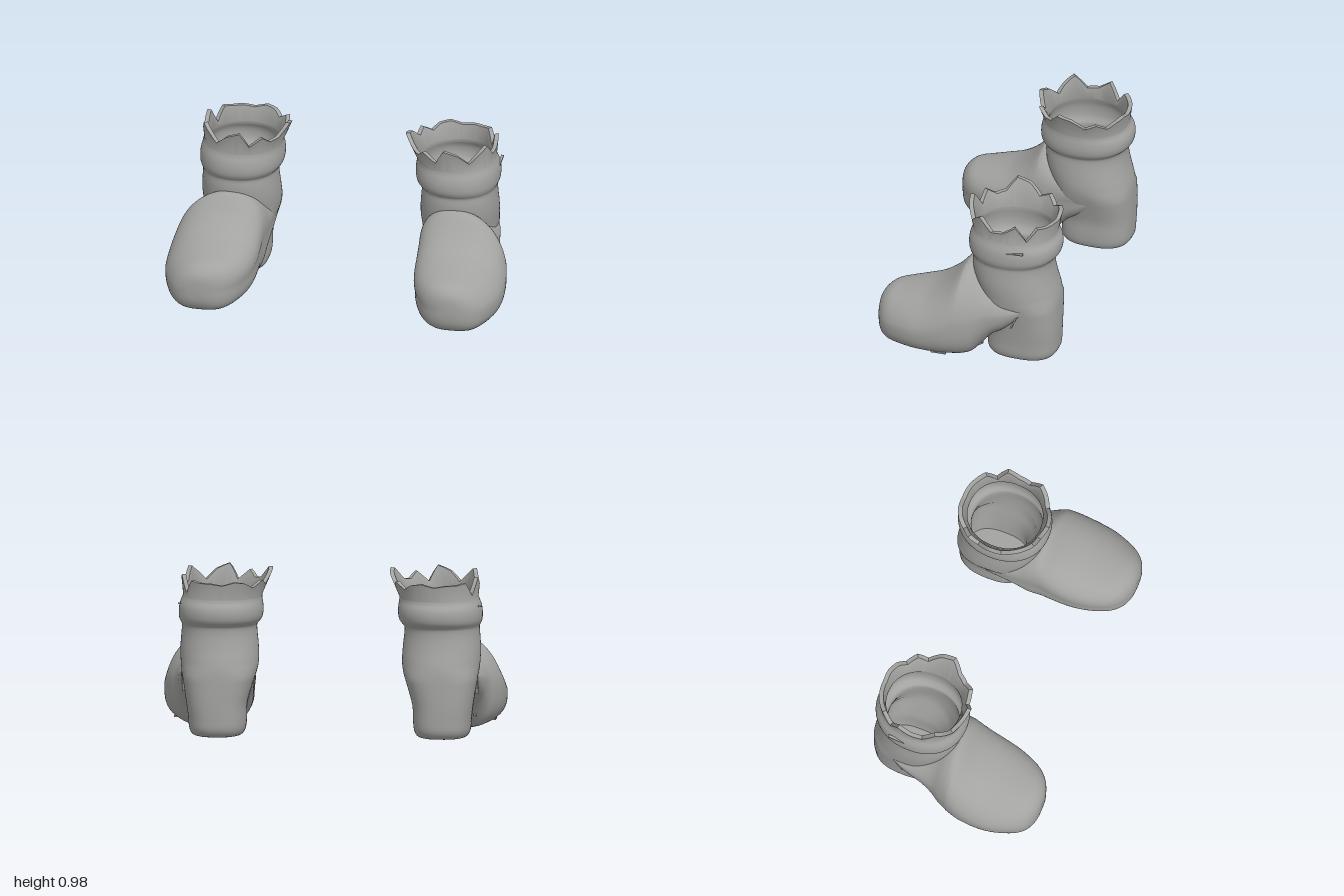
import * as THREE from 'three';
import { toCreasedNormals } from 'three/addons/utils/BufferGeometryUtils.js';

const SEG = 96;
const leather = new THREE.MeshStandardMaterial({ color: 0xa3a3a1, side: THREE.DoubleSide });
leather.name = 'grey leather';

// Catmull-Rom interpolation through rows of numbers
function smoothRows(rows, k) {
  const out = [];
  for (let i = 0; i < rows.length - 1; i++) {
    const p0 = rows[Math.max(i - 1, 0)], p1 = rows[i], p2 = rows[i + 1], p3 = rows[Math.min(i + 2, rows.length - 1)];
    for (let s = 0; s < k; s++) {
      const t = s / k;
      out.push(p1.map((v, c) => v + 0.5 * t * (p2[c] - p0[c]
        + t * (2 * p0[c] - 5 * v + 4 * p2[c] - p3[c] + t * (3 * (v - p2[c]) + p3[c] - p0[c])))));
    }
  }
  out.push(rows[rows.length - 1]);
  return out;
}

// Skin closed rings of [x, y, z] points; the start is capped, the end on request
function loft(rings, side, capEnd) {
  const pos = [], idx = [];
  const tri = (a, b, c) => (side > 0 ? idx.push(a, b, c) : idx.push(a, c, b));
  rings.forEach(r => r.forEach(p => pos.push(p[0] * side, p[1], p[2])));
  for (let i = 0; i < rings.length - 1; i++) {
    for (let j = 0; j < SEG; j++) {
      const a = i * SEG + j, b = i * SEG + (j + 1) % SEG;
      tri(a, a + SEG, b);
      tri(b, a + SEG, b + SEG);
    }
  }
  const cap = (row, end) => {
    const c = pos.length / 3;
    const mid = [0, 1, 2].map(k => rings[row].reduce((s, p) => s + p[k], 0) / SEG);
    pos.push(mid[0] * side, mid[1], mid[2]);
    for (let j = 0; j < SEG; j++) {
      const a = row * SEG + j, b = row * SEG + (j + 1) % SEG;
      if (end) tri(c, b, a); else tri(c, a, b);
    }
  };
  cap(0, false);
  if (capEnd) cap(rings.length - 1, true);
  const g = new THREE.BufferGeometry();
  g.setAttribute('position', new THREE.Float32BufferAttribute(pos, 3));
  g.setIndex(idx);
  return toCreasedNormals(g, 0.8);
}

// Rounded outline in the box u0..u1, v0..v1; squareness below and above, lean shifts the upper half
function outline(u0, u1, v0, v1, nLow, nHigh, lean, place) {
  const hu = (u1 - u0) / 2, hv = (v1 - v0) / 2;
  return Array.from({ length: SEG }, (_, j) => {
    const a = j / SEG * Math.PI * 2, c = Math.cos(a), s = Math.sin(a);
    const e = 2 / (s > 0 ? nHigh : nLow);
    const pc = Math.sign(c) * Math.abs(c) ** e, ps = Math.sign(s) * Math.abs(s) ** e;
    return place(u0 + hu + hu * (pc - lean * Math.max(ps, 0)), v0 + hv + hv * ps);
  });
}

// Heel, ankle and cuff: [y, inner x, outer x, back z, front z]
const shaft = smoothRows([
  [0.015, 0.53, 0.78, -0.48, -0.15], [0.025, 0.505, 0.805, -0.505, -0.12], [0.06, 0.49, 0.82, -0.527, -0.105],
  [0.12, 0.485, 0.825, -0.532, -0.11], [0.2, 0.482, 0.835, -0.535, -0.12], [0.3, 0.455, 0.85, -0.535, -0.1],
  [0.42, 0.42, 0.87, -0.53, -0.05], [0.52, 0.42, 0.875, -0.505, -0.02], [0.6, 0.428, 0.87, -0.49, -0.01],
  [0.65, 0.43, 0.867, -0.49, -0.012], [0.668, 0.418, 0.873, -0.5, 0.0], [0.695, 0.4, 0.883, -0.524, 0.013],
  [0.735, 0.393, 0.885, -0.533, 0.016], [0.775, 0.395, 0.88, -0.528, 0.01], [0.81, 0.4, 0.867, -0.508, -0.002],
  [0.83, 0.4, 0.86, -0.505, -0.005]], 3);
const squareness = y => (y < 0.4 ? 2.6 : 2.15);

// Heights of the torn rim every 15 degrees
const torn = [0.90, 0.89, 0.97, 0.93, 0.88, 0.94, 0.97, 0.88, 0.94, 0.90, 0.91, 0.98,
  0.96, 0.90, 0.93, 0.89, 0.92, 0.93, 0.91, 0.92, 0.92, 0.93, 0.85, 0.95];

function shaftRing([y, x0, x1, z0, z1], inset) {
  const n = squareness(y);
  return outline(x0 + inset, x1 - inset, z0 + inset, z1 - inset, n, n, 0, (x, z) => [x, y, z]);
}

function rimRing(inset) {
  const low = shaftRing([0.83, 0.4, 0.86, -0.505, -0.005], inset);
  const high = shaftRing([0.98, 0.335, 0.875, -0.53, 0.035], inset);
  return low.map((p, j) => {
    const f = j / SEG * torn.length, i = Math.floor(f);
    const h = THREE.MathUtils.lerp(torn[i], torn[(i + 1) % torn.length], f - i);
    const t = (h - 0.83) / 0.15;
    return p.map((v, k) => v + (high[j][k] - v) * t);
  });
}

// Foot: [z, inner x, outer x, bottom y, top y]
const foot = [
  [0.533, 0.71, 0.775, 0.155, 0.24], [0.525, 0.665, 0.825, 0.105, 0.275], [0.5, 0.61, 0.88, 0.06, 0.31],
  [0.46, 0.565, 0.922, 0.037, 0.337], [0.4, 0.527, 0.955, 0.03, 0.351], [0.3, 0.492, 0.988, 0.026, 0.376],
  [0.2, 0.475, 0.999, 0.022, 0.412], [0.1, 0.47, 0.995, 0.019, 0.485], [0.03, 0.468, 0.98, 0.017, 0.562],
  [0, 0.465, 0.968, 0.017, 0.582], [-0.05, 0.46, 0.945, 0.03, 0.572], [-0.1, 0.457, 0.918, 0.08, 0.54],
  [-0.17, 0.45, 0.9, 0.16, 0.5], [-0.25, 0.445, 0.888, 0.215, 0.475], [-0.33, 0.443, 0.87, 0.29, 0.45],
  [-0.38, 0.47, 0.84, 0.34, 0.43]];

// Keep the foot out of the hollow: points behind the shaft's front wall move onto it
function meetShaft([x, y, z]) {
  const i = Math.max(1, shaft.findIndex(r => r[0] >= y));
  const t = THREE.MathUtils.clamp((y - shaft[i - 1][0]) / (shaft[i][0] - shaft[i - 1][0]), 0, 1);
  const [, x0, x1, z0, z1] = shaft[i].map((v, k) => THREE.MathUtils.lerp(shaft[i - 1][k], v, t));
  const n = squareness(y), gap = 0.015;
  const u = Math.abs(x - (x0 + x1) / 2) / ((x1 - x0) / 2 - gap);
  if (u >= 1) return [x, y, z];
  const wall = (z0 + z1) / 2 + ((z1 - z0) / 2 - gap) * (1 - u ** n) ** (1 / n);
  return [x, y, Math.max(z, wall)];
}

// Loose splinters: [x, y, z, length, tilt about x]
const splinters = [
  [0.93, 0.055, 0.12, 0.09, 0.03], [0.83, 0.09, -0.08, 0.09, 0.5], [0.855, 0.32, -0.325, 0.13, 1.15],
  [0.875, 0.78, -0.33, 0.1, 0.15], [0.65, 0.008, -0.27, 0.17, 0], [0.7, 0.014, 0.0, 0.07, 0.1]];

function add(group, name, geometry) {
  const mesh = new THREE.Mesh(geometry, leather);
  mesh.name = name;
  group.add(mesh);
  return mesh;
}

function boot(side) {
  const g = new THREE.Group();
  g.name = side > 0 ? 'leftBoot' : 'rightBoot';

  // Hollow shaft: up the outside, over the torn rim, down the inside to a floor
  const inner = shaft.filter(r => r[0] > 0.05).reverse();
  add(g, 'shaft', loft([
    ...shaft.map(r => shaftRing(r, 0)), rimRing(0), rimRing(0.025), ...inner.map(r => shaftRing(r, 0.03))], side, true));

  // Foot with a flat sole and a rounded top leaning towards the ankle
  add(g, 'foot', loft(smoothRows(foot, 3).map(([z, x0, x1, y0, y1]) =>
    outline(x0, x1, y0, y1, 3, 2.2, 0.18, (x, y) => meetShaft([x, y, z]))), side, false));

  for (const [x, y, z, length, tilt] of splinters) {
    const m = add(g, 'splinter', new THREE.BoxGeometry(0.016, 0.009, length));
    m.position.set(x * side, y, z);
    m.rotation.x = tilt;
  }
  return g;
}

export function createModel() {
  const model = new THREE.Group();
  model.name = 'pairOfBoots';
  model.add(boot(1), boot(-1));
  return model;
}
